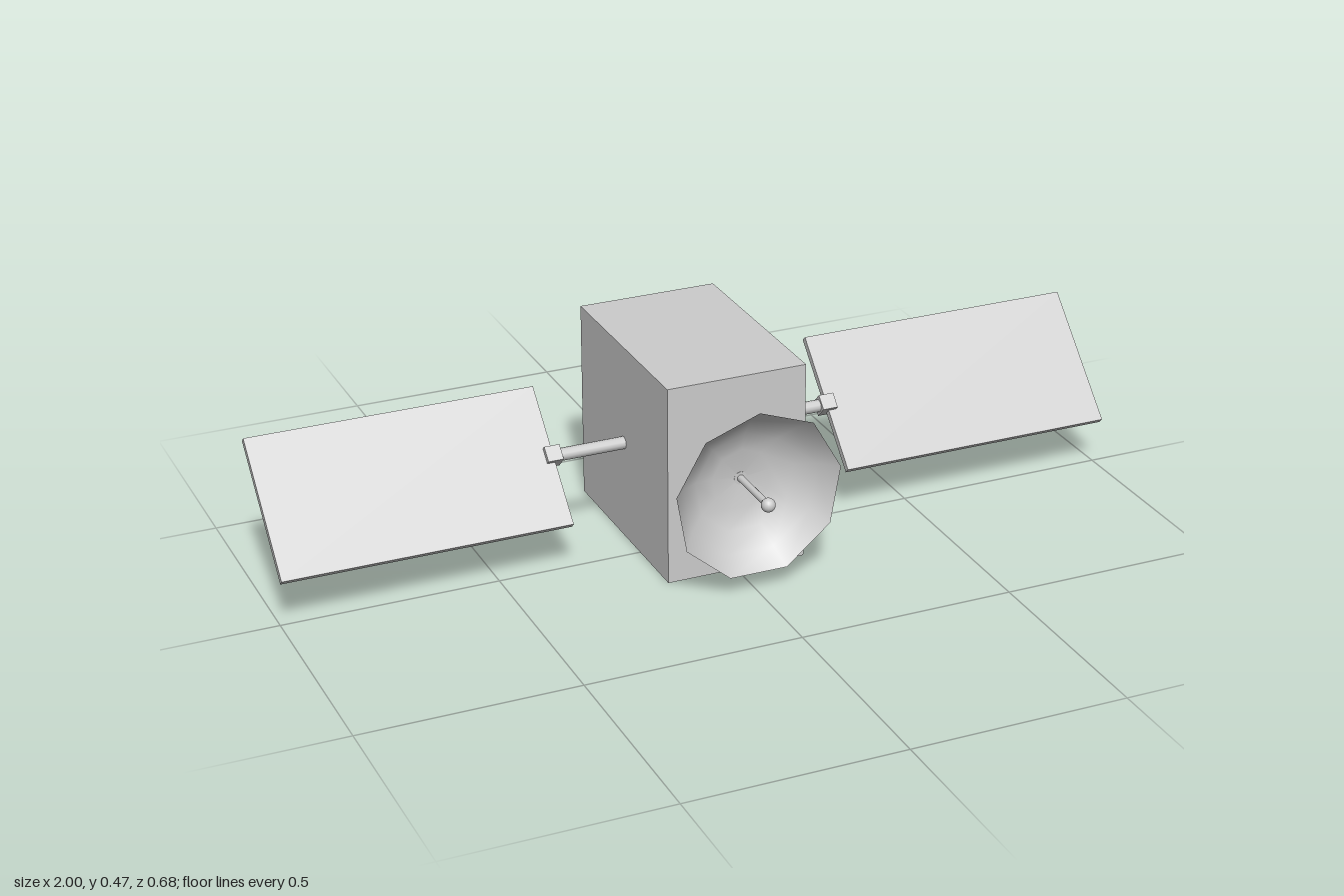
import * as THREE from 'three';

const grey = new THREE.MeshStandardMaterial({ color: 0xcccccc });
const greyThin = new THREE.MeshStandardMaterial({ color: 0xcccccc, side: THREE.DoubleSide });

const MID_Y = 0.2335; // height of the central axis
const MID_Z = -0.089; // depth of the body centre

function part(parent, name, geometry, x, y, z, material = grey) {
  const mesh = new THREE.Mesh(geometry, material);
  mesh.name = name;
  mesh.position.set(x, y, z);
  parent.add(mesh);
  return mesh;
}

// Cylinder running along z between two depths
function rodZ(parent, name, radius, z0, z1) {
  const g = new THREE.CylinderGeometry(radius, radius, z1 - z0, 12).rotateX(Math.PI / 2);
  return part(parent, name, g, 0, 0, (z0 + z1) / 2);
}

// One solar wing: boom, clamp and tilted panel
function wing(side) {
  const group = new THREE.Group();
  group.name = side > 0 ? 'leftWing' : 'rightWing';
  group.position.set(0, MID_Y, MID_Z);
  const boom = new THREE.CylinderGeometry(0.0145, 0.0145, 0.17, 12).rotateZ(Math.PI / 2);
  part(group, 'boom', boom, side * 0.24, 0, 0);

  const tilted = new THREE.Group();
  tilted.name = 'tiltedPanel';
  tilted.rotation.x = Math.PI / 4; // front edge low, back edge high
  part(tilted, 'clamp', new THREE.BoxGeometry(0.036, 0.039, 0.036), side * 0.336, 0, 0);
  part(tilted, 'solarPanel', new THREE.BoxGeometry(0.665, 0.016, 0.332), side * 0.6675, 0, 0);
  group.add(tilted);
  return group;
}

// Nine-sided dish with its mount and feed
function dishAntenna() {
  const group = new THREE.Group();
  group.name = 'dishAntenna';
  group.position.y = MID_Y;
  const profile = [[0, 0.178], [0.0715, 0.185], [0.1185, 0.202], [0.1615, 0.2345], [0.1975, 0.278]]
    .map(([r, z]) => new THREE.Vector2(r, z));
  const bowl = new THREE.LatheGeometry(profile, 9, Math.PI).rotateX(Math.PI / 2);
  part(group, 'dish', bowl, 0, 0, 0, greyThin);
  rodZ(group, 'dishMount', 0.0155, 0.15, 0.18);
  rodZ(group, 'feedRod', 0.008, 0.175, 0.318);
  part(group, 'feedTip', new THREE.SphereGeometry(0.016, 16, 12), 0, 0, 0.323);
  return group;
}

export function createModel() {
  const model = new THREE.Group();
  model.name = 'satellite';
  part(model, 'body', new THREE.BoxGeometry(0.328, 0.467, 0.498), 0, MID_Y, MID_Z);
  model.add(wing(1), wing(-1), dishAntenna());
  return model;
}
